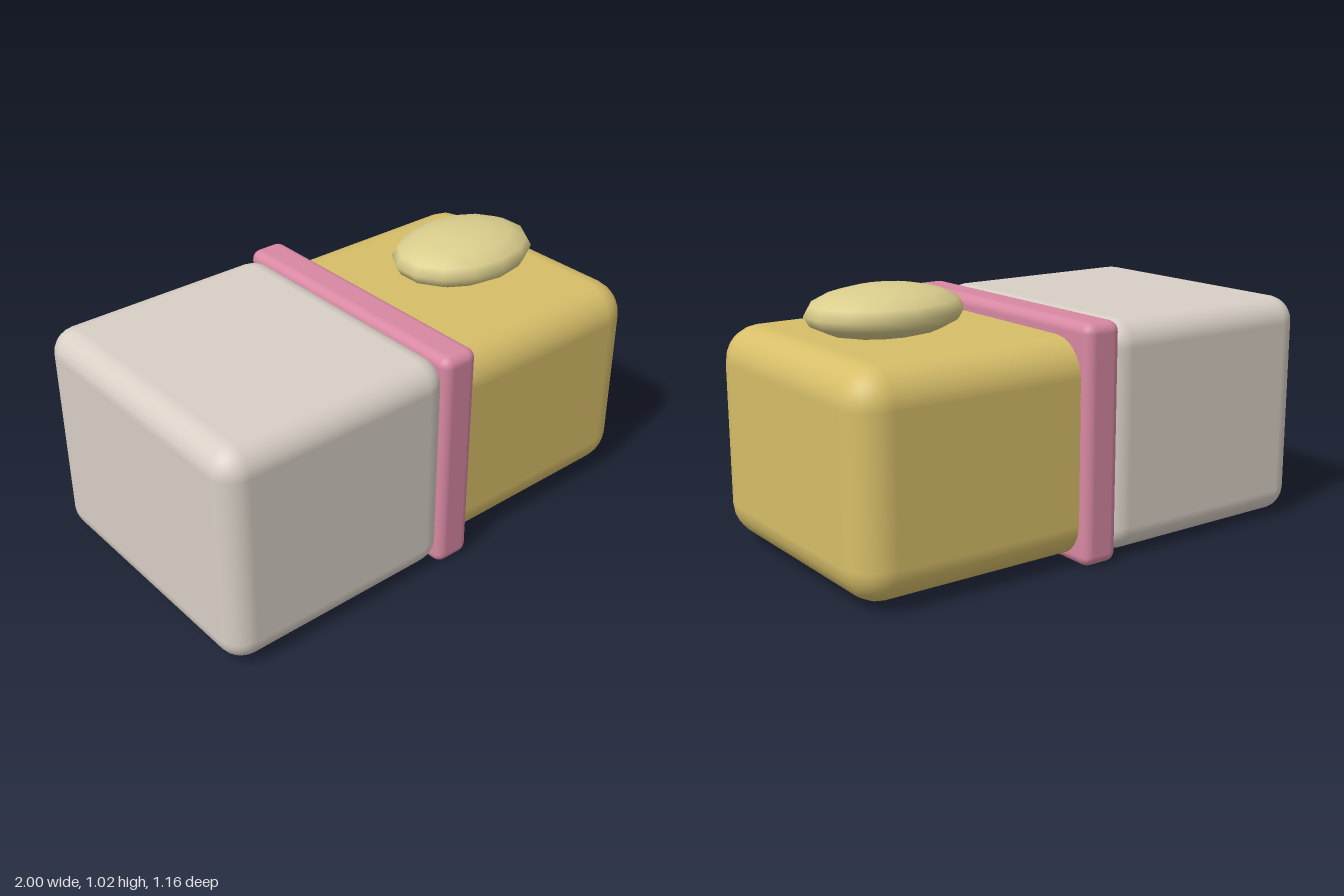
import * as THREE from 'three';
import { RoundedBoxGeometry } from 'three/addons/geometries/RoundedBoxGeometry.js';

const material = (name, color) => {
  const m = new THREE.MeshStandardMaterial({ color });
  m.name = name;
  return m;
};

export function createModel() {
  const group = new THREE.Group();
  group.name = 'capsuleBlock';

  const grey = material('warm grey', 0xd8cfc5);
  const pink = material('pink', 0xd888a3);
  const yellow = material('mustard yellow', 0xd7be69);
  const cream = material('pale yellow', 0xdacd8c);

  // Rounded block from its x and y limits, centred on z
  const block = (name, mat, x0, x1, y0, y1, depth, radius) => {
    const mesh = new THREE.Mesh(new RoundedBoxGeometry(x1 - x0, y1 - y0, depth, 3, radius), mat);
    mesh.name = name;
    mesh.position.set((x0 + x1) / 2, (y0 + y1) / 2, 0);
    group.add(mesh);
  };

  block('greyHalf', grey, -1, -0.02, 0.012, 0.895, 1.14, 0.1);
  block('yellowHalf', yellow, -0.06, 1, 0.02, 0.845, 1.08, 0.14);
  block('middleBand', pink, -0.06, 0.096, 0, 0.905, 1.156, 0.04);

  // Flattened button resting on the yellow half
  const buttonShape = new THREE.SphereGeometry(1, 14, 8);
  buttonShape.rotateY(Math.PI / 2);
  buttonShape.scale(0.311, 0.098, 0.234);
  const button = new THREE.Mesh(buttonShape, cream);
  button.name = 'topButton';
  button.position.set(0.567, 0.924, 0);
  group.add(button);

  return group;
}
